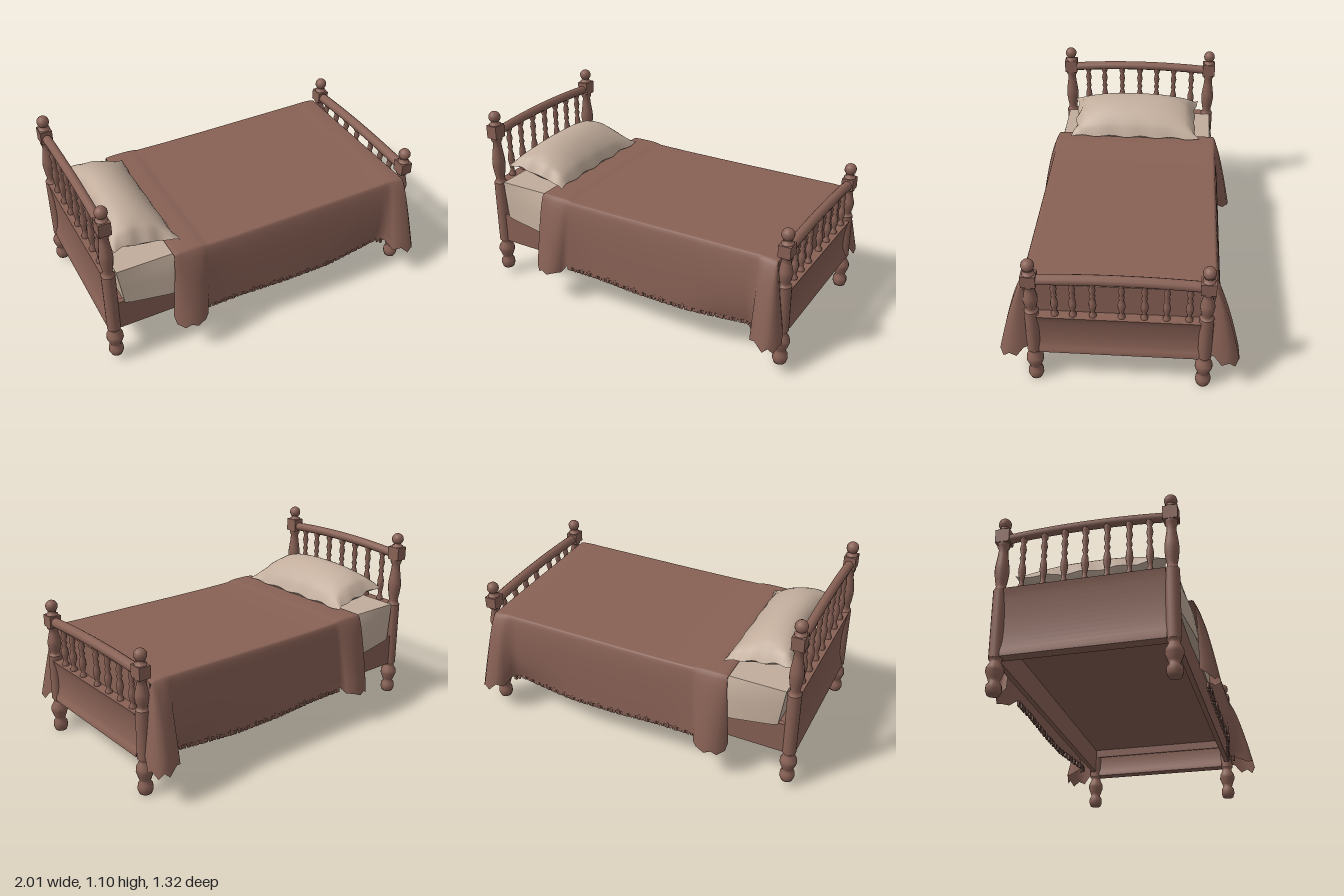
import * as THREE from 'three';
import { mergeGeometries } from 'three/addons/utils/BufferGeometryUtils.js';

const brown = new THREE.MeshStandardMaterial({ color: 0x886155, side: THREE.DoubleSide });
brown.name = 'brown';
const beige = new THREE.MeshStandardMaterial({ color: 0xc2ad9c, side: THREE.DoubleSide });
beige.name = 'beige';

function add(parent, name, geo, mat, x = 0, y = 0, z = 0) {
  const m = new THREE.Mesh(geo, mat);
  m.name = name;
  m.position.set(x, y, z);
  parent.add(m);
  return m;
}
const lathe = (pts, n) => new THREE.LatheGeometry(pts.map(p => new THREE.Vector2(p[0], p[1])), n);

// Turned foot, round shaft, vase, square block and ball finial
function addPost(parent, name, x, z, y0, shaft0, shaft1, block0, block1, top) {
  const g = new THREE.Group();
  g.name = name;
  g.position.set(x, 0, z);
  parent.add(g);
  const f = t => y0 + (shaft0 - y0) * t;
  add(g, 'turnedFoot', lathe([[0, f(0)], [.034, f(0)], [.043, f(.12)], [.041, f(.26)], [.028, f(.34)],
    [.034, f(.42)], [.049, f(.62)], [.047, f(.74)], [.031, f(.88)], [.03, f(.94)], [.038, f(1)]], 16), brown);
  add(g, 'shaft', new THREE.CylinderGeometry(.039, .039, shaft1 - shaft0, 16), brown, 0, (shaft0 + shaft1) / 2);
  const v = t => shaft1 + (block0 - shaft1) * t;
  add(g, 'vase', lathe([[.039, v(0)], [.03, v(.04)], [.027, v(.1)], [.034, v(.22)], [.04, v(.4)],
    [.038, v(.52)], [.028, v(.76)], [.025, v(.88)], [.034, v(.94)], [.034, v(1)]], 16), brown);
  add(g, 'squareBlock', new THREE.BoxGeometry(.07, block1 - block0, .08), brown, 0, (block0 + block1) / 2);
  add(g, 'finialNeck', lathe([[.034, block1], [.034, block1 + .008], [.018, block1 + .014], [.026, block1 + .024], [.016, block1 + .03]], 14), brown);
  add(g, 'finialBall', new THREE.SphereGeometry(.036, 14, 10), brown, 0, top - .036);
}

// Arched rail, spindles and a hollowed panel with a bottom ledge between two posts
function addBoard(parent, name, o) {
  const g = new THREE.Group();
  g.name = name;
  g.position.x = o.x;
  parent.add(g);
  for (const s of [1, -1])
    addPost(g, s > 0 ? 'leftSidePost' : 'rightSidePost', 0, s * .465, o.base, o.bottom, o.shaftTop, o.block0, o.block1, o.top);
  const arch = new THREE.QuadraticBezierCurve3(new THREE.Vector3(0, o.railEnd, -.44),
    new THREE.Vector3(0, 2 * o.railMid - o.railEnd, 0), new THREE.Vector3(0, o.railEnd, .44));
  add(g, 'archedRail', new THREE.TubeGeometry(arch, 20, o.railR, 10), brown);
  const h = o.railEnd - o.panelTop;
  const spindle = lathe([[.02, 0], [.02, .05], [.012, .1], [.013, .16], [.021, .3], [.019, .42], [.011, .52],
    [.018, .58], [.011, .64], [.019, .76], [.012, .87], [.02, .93], [.02, 1.05]].map(p => [p[0], p[1] * h]), 10);
  for (const z of o.spindles) add(g, 'spindle', spindle, brown, 0, o.panelTop, z);
  const ph = o.panelTop - o.bottom;
  const panel = new THREE.BoxGeometry(.066, ph, .87, 1, 14, 1);
  const p = panel.attributes.position;
  for (let i = 0; i < p.count; i++) {
    const t = Math.min(1, Math.max(0, (p.getY(i) / ph + .5 - .07) / .93));
    p.setX(i, p.getX(i) - Math.sign(p.getX(i)) * .022 * Math.max(0, Math.sin(Math.PI * t ** .8)) ** .7);
  }
  panel.computeVertexNormals();
  add(g, 'panel', panel, brown, 0, o.bottom + ph / 2);
}

// Mattress whose sheet spreads over the side rails near the blanket edge
function mattressGeometry() {
  const g = new THREE.BoxGeometry(1.82, .25, 1, 26, 4, 10);
  const p = g.attributes.position;
  for (let i = 0; i < p.count; i++) {
    const x = p.getX(i), y = p.getY(i), z = p.getZ(i);
    const widen = Math.max(0, 1 - Math.abs(x + .58) / .33);
    const low = .5 - y / .25;
    p.setX(i, x < -.9 ? x + .03 * low : x);
    p.setZ(i, z * (.965 + (.02 + .08 * widen) * Math.sqrt(low)));
    p.setY(i, y + .025 * low * (1 - widen));
  }
  g.computeVertexNormals();
  return g;
}

// Draped cover lofted along x; rows: top x, hem x, top y, outward drape, lower tuck, hem y
const STATIONS = [
  [-.59, -.62, .656, .035, 0, .23], [-.588, -.618, .662, .075, 0, .2], [-.56, -.58, .665, .108, 0, .18],
  [-.53, -.55, .666, .122, 0, .205], [-.49, -.51, .666, .132, 0, .19], [-.44, -.46, .665, .122, 0, .21],
  [-.405, -.43, .661, .09, 0, .21], [-.38, -.41, .655, .055, 0, .24], [-.2, -.2, .652, .054, 0, .24],
  [.1, .1, .652, .056, 0, .225], [.4, .4, .654, .057, 0, .225], [.6, .6, .655, .06, -.03, .225],
  [.77, .77, .656, .065, -.055, .23], [.82, .825, .657, .07, -.02, .23], [.84, .84, .657, .125, 0, .2],
  [.87, .88, .656, .152, 0, .22], [.905, .93, .653, .16, 0, .17], [.92, .96, .65, .155, 0, .2],
  [.928, .985, .648, .135, 0, .165], [.93, 1, .646, .1, 0, .2], [.93, 1, .645, .06, 0, .18],
  [.93, .985, .645, .02, 0, .23], [.93, .95, .645, -.06, 0, .25]];

function blanketGeometry() {
  const drops = [1, .85, .7, .55, .4, .26, .14, .06, .02, .005];
  const tops = [.5, .47, .3, .1];
  const half = [...drops.map(d => [d, 0]), ...tops.map(z => [0, z])];
  const row = [...half.map(h => [-1, ...h]), ...half.slice().reverse().map(h => [1, ...h])];
  const pos = [], idx = [], n = row.length;
  STATIONS.forEach(([xt, xh, yt, a, b, yh], i) => {
    for (const [s, d, z] of row) {
      const zz = d ? .5 + .05 * d ** .36 + (a - .05) * d ** .8 + b * d ** 4 : z;
      pos.push(xt + (xh - xt) * d, yt + (yh - yt) * d, s * zz);
    }
    if (i) for (let j = 0; j < n - 1; j++) {
      const p = (i - 1) * n + j, q = i * n + j;
      idx.push(p, p + 1, q, q, p + 1, q + 1);
    }
  });
  const g = new THREE.BufferGeometry();
  g.setAttribute('position', new THREE.Float32BufferAttribute(pos, 3));
  g.setIndex(idx);
  g.computeVertexNormals();
  return g;
}

// Row of small uneven tassels under one hem
function fringeGeometry(s) {
  const parts = [];
  for (let i = 0; i < 73; i++) {
    const x = -.4 + i * .0168;
    const k = STATIONS.findIndex(r => r[1] > x), a = STATIONS[k - 1], b = STATIONS[k];
    const t = (x - a[1]) / (b[1] - a[1]);
    const mix = c => a[c] + (b[c] - a[c]) * t;
    const w = .005 * Math.sin(i * 2.3);
    const tassel = new THREE.BoxGeometry(.016, .032 + w, .012);
    tassel.rotateZ(.4 * Math.sin(i * 1.7));
    tassel.translate(x, mix(5) - .01 + w, s * (.49 + mix(3) + mix(4) + w));
    parts.push(tassel);
  }
  return mergeGeometries(parts);
}

// Plump pillow with pinched corners: an upper and a lower sheet meeting at the seam
function pillowGeometry() {
  return mergeGeometries([1, -1].map(s => {
    const g = new THREE.PlaneGeometry(2, 2, 18, 24);
    const p = g.attributes.position;
    for (let i = 0; i < p.count; i++) {
      const u = p.getX(i), v = -s * p.getY(i);
      const puff = Math.max(0, 1 - u * u) ** .65 * Math.max(0, 1 - Math.abs(v) ** 2.6) ** .5 * (1 - .1 * u);
      const edge = Math.max(u * u, v * v) ** 4;
      const pinch = u < 0 ? .1 * u * u * (1 - v * v) : 0;
      p.setXYZ(i,
        -.712 + .183 * u * (1 + .07 * v ** 4 - pinch) + .005 * edge * Math.sin(v * 14),
        .714 - .036 * u + (s > 0 ? .14 : -.064) * puff + .005 * edge * Math.sin(9 * u + 13 * v),
        .012 + .393 * v * (1 + .07 * u ** 4) + .005 * edge * Math.sin(u * 11));
    }
    g.computeVertexNormals();
    return g;
  }));
}

export function createModel() {
  const bed = new THREE.Group();
  bed.name = 'bed';

  addBoard(bed, 'headboard', {
    x: -.955, base: .04, bottom: .24, shaftTop: .64, block0: .935, block1: 1.015, top: 1.1,
    railEnd: .965, railMid: .984, railR: .027, panelTop: .64,
    spindles: [.35, .24, .12, 0, -.115, -.23, -.35] });
  addBoard(bed, 'footboard', {
    x: .957, base: 0, bottom: .21, shaftTop: .49, block0: .67, block1: .74, top: .83,
    railEnd: .7, railMid: .714, railR: .03, panelTop: .465,
    spindles: [.34, .243, .137, -.016, -.137, -.254, -.374] });

  // Frame
  for (const s of [1, -1])
    add(bed, s > 0 ? 'leftSideRail' : 'rightSideRail', new THREE.BoxGeometry(1.87, .19, .03), brown, 0, .335, s * .47);
  add(bed, 'bedBase', new THREE.BoxGeometry(1.87, .02, .92), brown, 0, .408, 0);

  // Bedding
  add(bed, 'mattress', mattressGeometry(), beige, -.005, .524, 0);
  add(bed, 'pillow', pillowGeometry(), beige);
  add(bed, 'blanket', blanketGeometry(), brown);
  add(bed, 'blanketFootDrop', new THREE.BoxGeometry(.008, .3, 1), brown, .926, .496, 0);
  for (const s of [1, -1]) add(bed, s > 0 ? 'leftFringe' : 'rightFringe', fringeGeometry(s), brown);
  return bed;
}
